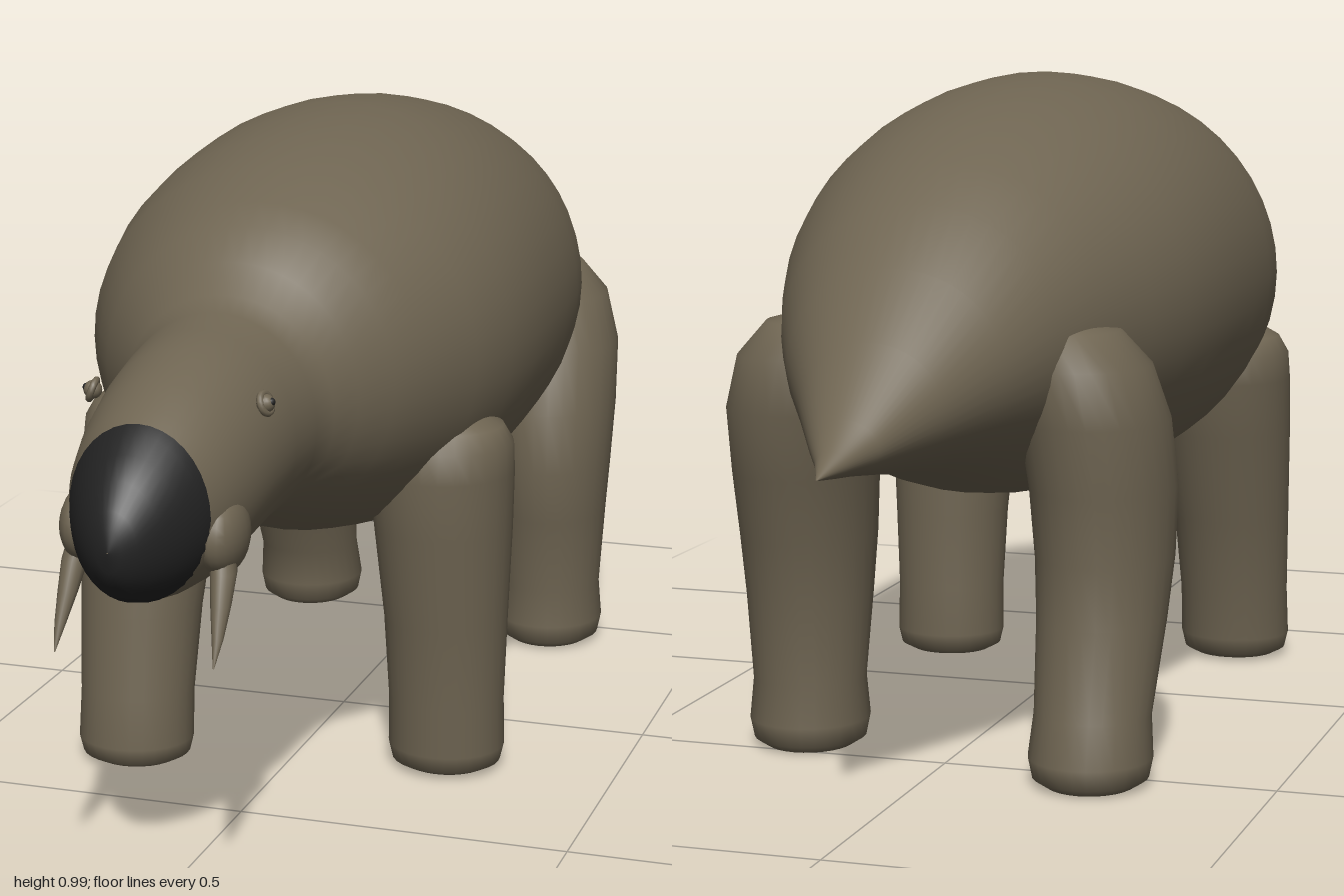
import * as THREE from 'three';

const hide = new THREE.MeshStandardMaterial({ color: 0x6f6552 });
hide.name = 'brown hide';
const horn = new THREE.MeshStandardMaterial({ color: 0x222222 });
horn.name = 'black horn';

// Smooth skin over rings of points; place(section, angle) returns [x, y, z]
function loft(sections, sides, place) {
  const pos = [], index = [];
  for (const s of sections) {
    for (let j = 0; j < sides; j++) pos.push(...place(s, (j / sides) * Math.PI * 2));
  }
  for (let i = 0; i < sections.length - 1; i++) {
    for (let j = 0; j < sides; j++) {
      const k = (j + 1) % sides;
      const a = i * sides + j, b = i * sides + k, c = a + sides, d = b + sides;
      index.push(a, b, c, b, d, c);
    }
  }
  const g = new THREE.BufferGeometry();
  g.setAttribute('position', new THREE.Float32BufferAttribute(pos, 3));
  g.setIndex(index);
  g.computeVertexNormals();
  return g;
}

// Section along the spine: [z, bottom, top, half width]
const alongZ = ([z, lo, hi, w], a) =>
  [w * Math.cos(a), (lo + hi) / 2 + ((hi - lo) / 2) * Math.sin(a), z];
// Section up a leg: [y, x, z, radius x, radius z]
const alongY = ([y, x, z, rx, rz], a) => [x + rx * Math.cos(a), y, z - rz * Math.sin(a)];

const BODY = [
  [-1, 0.515, 0.516, 0.001], [-0.95, 0.509, 0.545, 0.022], [-0.9, 0.504, 0.58, 0.05],
  [-0.8, 0.49, 0.67, 0.105], [-0.7, 0.473, 0.76, 0.162], [-0.6, 0.45, 0.84, 0.21],
  [-0.5, 0.42, 0.895, 0.25], [-0.4, 0.395, 0.935, 0.287], [-0.3, 0.377, 0.964, 0.315],
  [-0.2, 0.365, 0.984, 0.332], [-0.1, 0.358, 0.996, 0.34], [0, 0.354, 1, 0.343],
  [0.1, 0.356, 0.991, 0.341], [0.2, 0.367, 0.976, 0.33], [0.3, 0.39, 0.95, 0.303],
  [0.4, 0.428, 0.914, 0.255], [0.45, 0.447, 0.886, 0.222], [0.5, 0.465, 0.845, 0.184],
  [0.54, 0.475, 0.805, 0.16], [0.58, 0.48, 0.788, 0.148], [0.65, 0.476, 0.78, 0.142],
  [0.72, 0.465, 0.767, 0.136], [0.8, 0.452, 0.742, 0.126], [0.86, 0.455, 0.715, 0.112],
  [0.9, 0.462, 0.693, 0.094],
];
const BEAK = [
  [0.885, 0.46, 0.704, 0.101], [0.9, 0.461, 0.695, 0.095], [0.93, 0.47, 0.673, 0.08],
  [0.96, 0.486, 0.647, 0.06], [0.985, 0.508, 0.612, 0.036], [0.996, 0.53, 0.59, 0.018],
  [1, 0.558, 0.56, 0.001],
];

// Leg heights, centre depth as a blend from foot to top, and radii
function leg(side, footZ, rows) {
  const sections = rows.map(([y, x, z, rx, rz, pull]) =>
    [y, side * x, THREE.MathUtils.lerp(z, footZ, pull), rx, rz]);
  return new THREE.Mesh(loft(sections, 28, alongY), hide);
}
const FRONT = [
  [0.012, 0.235, 0.235, 0.001, 0.001, 1], [0.01, 0.235, 0.235, 0.065, 0.06, 1],
  [0.02, 0.235, 0.235, 0.084, 0.079, 1], [0.045, 0.235, 0.235, 0.09, 0.085, 1],
  [0.12, 0.235, 0.235, 0.089, 0.084, 0.9], [0.25, 0.235, 0.235, 0.095, 0.092, 0.65],
  [0.4, 0.232, 0.235, 0.106, 0.105, 0.3], [0.49, 0.23, 0.235, 0.111, 0.11, 0.1],
  [0.535, 0.232, 0.235, 0.108, 0.104, 0], [0.562, 0.23, 0.235, 0.095, 0.085, 0],
  [0.585, 0.225, 0.235, 0.06, 0.05, 0], [0.59, 0.22, 0.235, 0.001, 0.001, 0],
];
const HIND = [
  [0.012, 0.235, -0.44, 0.001, 0.001, 1], [0.008, 0.235, -0.44, 0.065, 0.07, 1],
  [0.02, 0.235, -0.44, 0.084, 0.088, 1], [0.05, 0.235, -0.44, 0.09, 0.095, 1],
  [0.11, 0.235, -0.435, 0.085, 0.085, 0.9], [0.24, 0.235, -0.43, 0.094, 0.104, 0.5],
  [0.33, 0.235, -0.435, 0.1, 0.122, 0.3], [0.43, 0.232, -0.455, 0.106, 0.132, 0.1],
  [0.53, 0.225, -0.485, 0.108, 0.13, 0], [0.61, 0.21, -0.5, 0.1, 0.115, 0],
  [0.66, 0.19, -0.505, 0.075, 0.085, 0], [0.685, 0.17, -0.505, 0.001, 0.001, 0],
];

// Tapering tusk, swept down and forward to a point
function tusk(side) {
  const path = [
    [0.56, 0.098, 0.83, 0.016, 0.02], [0.5, 0.107, 0.855, 0.018, 0.022],
    [0.46, 0.11, 0.875, 0.014, 0.016], [0.42, 0.113, 0.897, 0.008, 0.009],
    [0.385, 0.114, 0.917, 0.001, 0.001],
  ].reverse().map(([y, x, z, rx, rz]) => [y, side * x, z, rx, rz]);
  return new THREE.Mesh(loft(path, 14, alongY), hide);
}

export function createModel() {
  const model = new THREE.Group();
  model.name = 'tuskedAnimal';
  const add = (mesh, name) => {
    mesh.name = name;
    model.add(mesh);
    return mesh;
  };

  add(new THREE.Mesh(loft(BODY, 48, alongZ), hide), 'bodyHeadAndTail');
  add(new THREE.Mesh(loft(BEAK, 36, alongZ), horn), 'beak');

  // Legs are posed mid-step, so each foot has its own depth
  add(leg(1, 0.21, FRONT), 'leftFrontLeg');
  add(leg(-1, 0.325, FRONT), 'rightFrontLeg');
  add(leg(1, -0.44, HIND), 'leftHindLeg');
  add(leg(-1, -0.54, HIND), 'rightHindLeg');

  for (const side of [1, -1]) {
    const word = side > 0 ? 'left' : 'right';
    add(tusk(side), word + 'Tusk');

    // Cheek swelling that holds the tusk
    const cheek = add(new THREE.Mesh(new THREE.SphereGeometry(1, 20, 14), hide), word + 'Cheek');
    cheek.scale.set(0.034, 0.055, 0.06);
    cheek.position.set(side * 0.098, 0.545, 0.83);

    // Eye: lid ring, ball and pupil
    const eye = new THREE.Group();
    eye.name = word + 'Eye';
    const lid = new THREE.Mesh(new THREE.TorusGeometry(0.014, 0.005, 8, 20), hide);
    lid.name = 'eyelid';
    const ball = new THREE.Mesh(new THREE.SphereGeometry(0.013, 16, 12), hide);
    ball.name = 'eyeball';
    const pupil = new THREE.Mesh(new THREE.SphereGeometry(0.006, 12, 8), horn);
    pupil.name = 'pupil';
    pupil.position.z = 0.009;
    eye.add(lid, ball, pupil);
    eye.position.set(side * 0.126, 0.705, 0.735);
    eye.rotation.set(-0.35, side * 1.4, 0, 'YXZ');
    model.add(eye);
  }
  return model;
}
